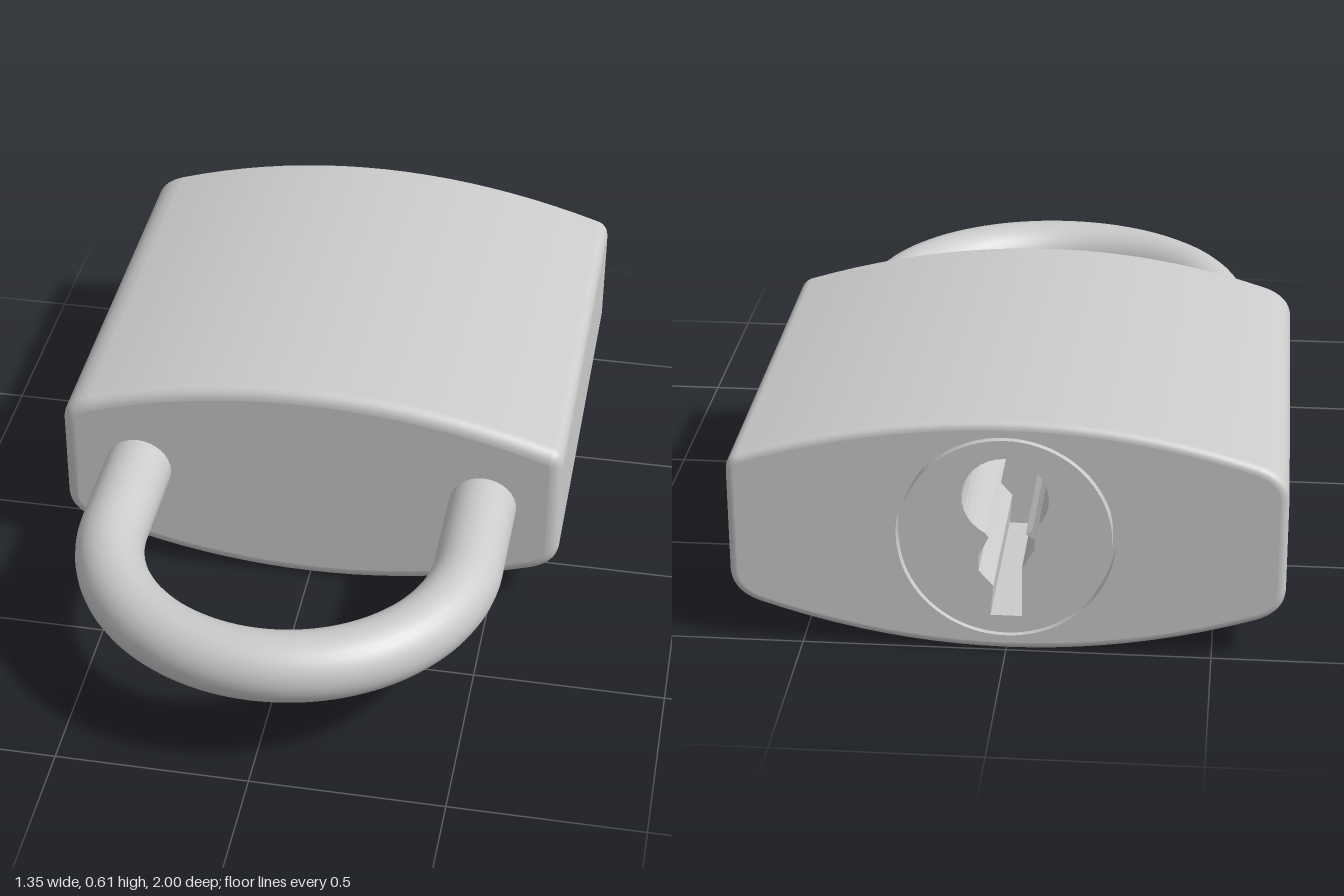
import * as THREE from 'three';

const BACK = -1, FRONT = 0.175, MID_Y = 0.305;
const PLUG_R = 0.257, GROOVE_R = 0.265, KEY_DEPTH = 0.5;
const material = new THREE.MeshStandardMaterial({ color: 0xcccccc, roughness: 0.6 });
const doubleSided = new THREE.MeshStandardMaterial({ color: 0xcccccc, roughness: 0.6, side: THREE.DoubleSide });

function add(group, name, geometry, mat = material) {
  const mesh = new THREE.Mesh(geometry, mat);
  mesh.name = name;
  group.add(mesh);
  return mesh;
}

// Body cross-section: crowned top and bottom, rounded corners, counter-clockwise
function bodyProfile() {
  const s = new THREE.Shape();
  s.moveTo(-0.6, 0.1);
  s.quadraticCurveTo(0, -0.1, 0.6, 0.1);
  s.quadraticCurveTo(0.675, 0.125, 0.675, 0.19);
  s.lineTo(0.675, 0.45);
  s.quadraticCurveTo(0.675, 0.49, 0.645, 0.5);
  s.quadraticCurveTo(0, 0.71, -0.6, 0.515);
  s.quadraticCurveTo(-0.675, 0.49, -0.675, 0.43);
  s.lineTo(-0.675, 0.19);
  s.quadraticCurveTo(-0.675, 0.125, -0.6, 0.1);
  const pts = s.getPoints(20);
  return pts.filter((p, i) => i === 0 || (p.distanceTo(pts[i - 1]) > 1e-5 && p.distanceTo(pts[0]) > 1e-5));
}

// Move every profile point inward along its normal
function inset(points, d) {
  const n = points.length;
  return points.map((p, i) => {
    const t = points[(i + 1) % n].clone().sub(points[(i + n - 1) % n]).normalize();
    return new THREE.Vector2(p.x - t.y * d, p.y + t.x * d);
  });
}

// Side wall with a rounded edge at both ends
function bodyWall(profile, backR, frontR) {
  const rings = [], steps = 6, pos = [], index = [], n = profile.length;
  for (let k = 0; k <= steps; k++) {
    const a = (k / steps) * Math.PI / 2;
    rings.push([backR * (1 - Math.sin(a)), BACK + backR * (1 - Math.cos(a))]);
  }
  for (let k = 0; k <= steps; k++) {
    const a = (k / steps) * Math.PI / 2;
    rings.push([frontR * (1 - Math.cos(a)), FRONT - frontR * (1 - Math.sin(a))]);
  }
  for (const [d, z] of rings) for (const p of inset(profile, d)) pos.push(p.x, p.y, z);
  for (let r = 0; r < rings.length - 1; r++) {
    for (let i = 0; i < n; i++) {
      const a = r * n + i, b = r * n + (i + 1) % n;
      index.push(a, b, b + n, a, b + n, a + n);
    }
  }
  const g = new THREE.BufferGeometry();
  g.setAttribute('position', new THREE.Float32BufferAttribute(pos, 3));
  g.setIndex(index);
  g.computeVertexNormals();
  return g;
}

// Keyhole outline as seen from behind: round top, stepped slot below
function keyholePoints() {
  const pts = [];
  for (let i = 0; i <= 28; i++) {
    const a = THREE.MathUtils.degToRad(-62 + (i / 28) * 304);
    pts.push(new THREE.Vector2(0.105 * Math.cos(a), 0.105 + 0.105 * Math.sin(a)));
  }
  const slot = [[-0.04, 0], [-0.065, -0.05], [-0.065, -0.09], [-0.03, -0.13], [-0.037, -0.21],
    [0.04, -0.21], [0.04, -0.08], [0.07, -0.03], [0.07, 0]];
  for (const [x, y] of slot) pts.push(new THREE.Vector2(x, y));
  return pts;
}

export function createModel() {
  const model = new THREE.Group();
  model.name = 'padlock';

  // Body
  const body = new THREE.Group();
  body.name = 'body';
  model.add(body);
  const profile = bodyProfile(), backR = 0.02, frontR = 0.035;
  add(body, 'bodyWall', bodyWall(profile, backR, frontR));
  add(body, 'frontFace', new THREE.ShapeGeometry(new THREE.Shape(inset(profile, frontR)))).position.z = FRONT;
  const backShape = new THREE.Shape(inset(profile, backR).map(p => new THREE.Vector2(-p.x, p.y)));
  backShape.holes.push(new THREE.Path().absarc(0, MID_Y, GROOVE_R, 0, Math.PI * 2, true));
  const backFace = add(body, 'backFace', new THREE.ShapeGeometry(backShape, 40));
  backFace.rotation.y = Math.PI;
  backFace.position.z = BACK;

  // Lock cylinder, built facing +z and turned to the back
  const lock = new THREE.Group();
  lock.name = 'lockCylinder';
  lock.position.set(0, MID_Y, BACK);
  lock.rotation.y = Math.PI;
  model.add(lock);
  const plug = new THREE.Shape().absarc(0, 0, PLUG_R, 0, Math.PI * 2);
  plug.holes.push(new THREE.Path(keyholePoints()));
  add(lock, 'plug', new THREE.ExtrudeGeometry(plug, { depth: KEY_DEPTH, bevelEnabled: false, curveSegments: 40 }))
    .position.z = -KEY_DEPTH;
  add(lock, 'keyholeFloor', new THREE.ShapeGeometry(new THREE.Shape(keyholePoints()))).position.z = -KEY_DEPTH;
  const groove = add(lock, 'grooveWall', new THREE.CylinderGeometry(GROOVE_R, GROOVE_R, 0.04, 80, 1, true), doubleSided);
  groove.rotation.x = Math.PI / 2;
  groove.position.z = -0.02;
  add(lock, 'grooveFloor', new THREE.RingGeometry(PLUG_R, GROOVE_R, 80)).position.z = -0.04;

  // Shackle: half ring and two straight legs
  const shackle = new THREE.Group();
  shackle.name = 'shackle';
  shackle.position.y = 0.31;
  model.add(shackle);
  const bendZ = 0.44, bendR = 0.468, barR = 0.09, legStart = 0.1;
  const bend = add(shackle, 'shackleBend', new THREE.TorusGeometry(bendR, barR, 32, 64, Math.PI));
  bend.rotation.x = Math.PI / 2;
  bend.position.z = bendZ;
  for (const side of [-1, 1]) {
    const leg = add(shackle, side > 0 ? 'leftLeg' : 'rightLeg',
      new THREE.CylinderGeometry(barR, barR, bendZ - legStart, 32));
    leg.rotation.x = Math.PI / 2;
    leg.position.set(side * bendR, 0, (bendZ + legStart) / 2);
  }
  return model;
}
